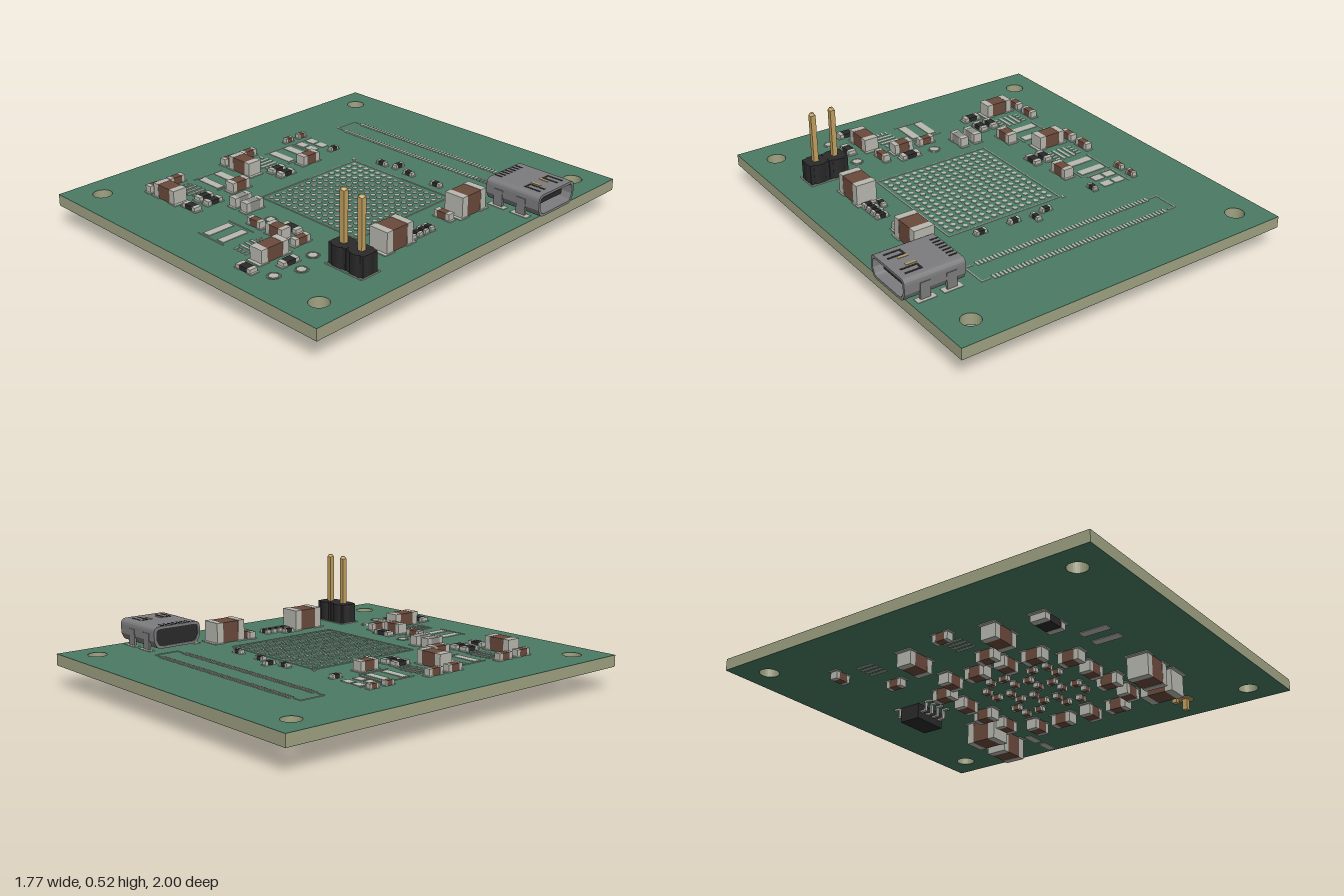
import * as THREE from 'three';
import { mergeGeometries } from 'three/addons/utils/BufferGeometryUtils.js';

const TOP = 0.167, BOTTOM = 0.11;
const mat = (color) => new THREE.MeshStandardMaterial({ color });
const M = {
  mask: mat(0x4a7a64), core: mat(0xa0a282), silver: mat(0xb8b8b0), brown: mat(0x6b4a3c),
  black: mat(0x2a2a2a), grey: mat(0x8e8e8a), gold: mat(0xc2a060), shell: mat(0x7c7c7e),
};

export function createModel() {
  const model = new THREE.Group();
  const buckets = new Map();

  // Gathers geometry by part name and material; merged at the end
  const add = (name, material, geo) => {
    const key = name + '|' + material;
    if (!buckets.has(key)) buckets.set(key, []);
    buckets.get(key).push(geo.index ? geo.toNonIndexed() : geo);
  };
  const box = (name, material, x, y, z, w, h, d) =>
    add(name, material, new THREE.BoxGeometry(w, h, d).translate(x, y, z));
  const face = (side) => (side > 0 ? TOP : BOTTOM);
  // Flat copper pad or printed line
  const pad = (name, x, z, w, d, side = 1) =>
    box(name, 'silver', x, face(side) + side * 0.001, z, w, 0.004, d);
  // Dot (r0 = 0) or ring on the top face
  const dot = (name, x, z, r, segments = 12) =>
    add(name, 'silver', new THREE.CylinderGeometry(r, r, 0.004, segments).translate(x, TOP + 0.001, z));

  // Two-terminal chip: body, metal end caps and solder pads; axis 'x' or 'z'
  const chip = (name, material, x, z, len, wid, h, axis, side = 1) => {
    const y = face(side) + side * h / 2, cap = len * 0.22;
    const put = (m, off, l, w, hh, yy) => (axis === 'x'
      ? box(name, m, x + off, yy, z, l, hh, w) : box(name, m, x, yy, z + off, w, hh, l));
    put(material, 0, len * 0.8, wid * 0.97, h * 0.97, y);
    for (const s of [-1, 1]) {
      put('silver', s * (len - cap) / 2, cap, wid, h, y);
      put('silver', s * len * 0.42, len * 0.36, wid * 1.12, 0.005, face(side) + side * 0.002);
    }
  };

  // Board: core with a solder mask on both faces and four mounting holes
  const outline = new THREE.Shape([[-0.89, -1], [0.86, -1], [0.86, 1], [-0.89, 1]].map((p) => new THREE.Vector2(...p)));
  for (const [x, z] of [[-0.75, -0.86], [0.72, -0.86], [-0.75, 0.85], [0.72, 0.85]])
    outline.holes.push(new THREE.Path().absarc(x, -z, 0.046, 0, Math.PI * 2, true));
  const slab = (y, h) => new THREE.ExtrudeGeometry(outline, { depth: h, bevelEnabled: false, curveSegments: 16 })
    .rotateX(-Math.PI / 2).translate(0, y, 0);
  add('boardCore', 'core', slab(BOTTOM + 0.002, TOP - BOTTOM - 0.004));
  add('solderMaskTop', 'mask', slab(TOP - 0.002, 0.002));
  add('solderMaskBottom', 'mask', slab(BOTTOM, 0.002));

  // Rectangular printed outline
  const frame = (name, x0, x1, z0, z1, t = 0.005) => {
    for (const z of [z0, z1]) pad(name, (x0 + x1) / 2, z, x1 - x0, t);
    for (const x of [x0, x1]) pad(name, x, (z0 + z1) / 2, t, z1 - z0);
  };

  // Fine-pitch connector footprint
  for (let i = 0; i < 50; i++)
    for (const z of [-0.66, -0.533]) pad('connectorPads', -0.497 + i * 0.0196, z, 0.01, 0.03);
  for (const [x, s] of [[-0.563, 1], [0.527, -1]]) {
    pad('connectorOutline', x, -0.597, 0.005, 0.13);
    for (const z of [-0.66, -0.533]) pad('connectorOutline', x + s * 0.022, z, 0.045, 0.005);
  }

  // Ball grid footprint
  for (let i = 0; i < 15; i++)
    for (let j = 0; j < 15; j++) dot('ballGridPads', -0.152 + i * 0.0397, -0.24 + j * 0.0397, 0.0125, 8);
  frame('ballGridOutline', -0.187, 0.437, -0.275, 0.347);
  dot('ballGridOutline', -0.2, -0.285, 0.012, 3);

  // Oscillator footprint
  for (const x of [-0.521, -0.452])
    for (const z of [-0.302, -0.233]) pad('oscillatorPads', x, z, 0.055, 0.042);
  pad('oscillatorOutline', -0.563, -0.27, 0.005, 0.13);
  pad('oscillatorOutline', -0.487, -0.2, 0.15, 0.005);

  // Two identical regulator blocks: inductor pads, regulator pads and passives
  for (const z of [0, 0.46]) {
    for (const dz of [-0.15, -0.052]) pad('inductorPads', -0.48, z + dz, 0.143, 0.042);
    for (const x of [-0.566, -0.394]) pad('inductorOutline', x, z - 0.1, 0.005, 0.17);
    for (const x of [-0.51, -0.48, -0.45]) pad('regulatorPads', x, z + 0.066, 0.013, 0.1);
    for (const x of [-0.543, -0.417])
      for (let i = 0; i < 4; i++) pad('regulatorPads', x, z + 0.03 + i * 0.024, 0.026, 0.01);
    chip('capacitorTop', 'brown', -0.34, z - 0.1, 0.105, 0.055, 0.05, 'z');
    chip('capacitorTop', 'brown', -0.48, z + 0.196, 0.15, 0.075, 0.07, 'x');
    for (const x of [-0.368, -0.304]) chip('resistorTop', 'black', x, z + 0.085, 0.085, 0.04, 0.022, 'z');
    for (const dz of [0.065, 0.187]) chip('capacitorTop', 'brown', -0.607, z + dz, 0.085, 0.036, 0.036, 'z');
  }

  // Lower regulator: inductor pads and regulator pads
  for (const x of [-0.066, 0.03]) pad('inductorPads', x, 0.71, 0.042, 0.143);
  for (const z of [0.62, 0.795]) pad('inductorOutline', -0.018, z, 0.17, 0.005);
  for (let i = 0; i < 3; i++) pad('regulatorPads', 0.166, 0.68 + i * 0.03, 0.1, 0.013);
  for (const z of [0.645, 0.775])
    for (let i = 0; i < 4; i++) pad('regulatorPads', 0.13 + i * 0.024, z, 0.01, 0.026);

  // Test points: dot with a ring
  for (const [x, z] of [[0.024, 0.48], [0.41, 0.587], [0.47, 0.71], [0.43, 0.83]]) {
    dot('testPoint', x, z, 0.022, 16);
    add('testPoint', 'silver', new THREE.TorusGeometry(0.03, 0.0025, 4, 20).rotateX(Math.PI / 2).translate(x, TOP, z));
  }

  // Remaining top-side chips: x, z, length, width, height, axis
  for (const c of [
    [0.58, -0.217, 0.165, 0.105, 0.105, 'z'], [0.58, 0.28, 0.165, 0.105, 0.105, 'z'],
    [0.564, -0.088, 0.09, 0.036, 0.036, 'x'], [0.288, 0.725, 0.155, 0.075, 0.068, 'z'],
    [0.166, 0.563, 0.105, 0.055, 0.053, 'x'], [0.024, 0.566, 0.085, 0.036, 0.036, 'x'],
    [0.288, 0.545, 0.09, 0.036, 0.036, 'z'], [-0.607, -0.302, 0.05, 0.026, 0.025, 'z'],
    [-0.607, -0.212, 0.05, 0.026, 0.025, 'z'],
  ]) chip('capacitorTop', 'brown', ...c);
  for (const c of [
    [0.166, 0.483, 0.1, 0.042, 0.022, 'x'], [0.39, 0.71, 0.09, 0.04, 0.022, 'z'],
    [0.31, 0.873, 0.09, 0.042, 0.022, 'x'], [-0.322, 0.656, 0.09, 0.04, 0.022, 'x'],
    [-0.365, -0.302, 0.052, 0.026, 0.02, 'z'], [-0.055, -0.339, 0.056, 0.026, 0.02, 'x'],
    [0.024, -0.37, 0.056, 0.026, 0.02, 'z'], [0.125, -0.339, 0.056, 0.026, 0.02, 'x'],
    [0.306, -0.333, 0.056, 0.026, 0.02, 'x'], [0.532, 0.148, 0.056, 0.026, 0.02, 'z'],
    ...[0.048, 0.087, 0.127, 0.168].map((z) => [0.59, z, 0.056, 0.026, 0.02, 'x']),
  ]) chip('resistorTop', 'black', ...c);
  for (const x of [-0.198, -0.119]) chip('ferriteBead', 'grey', x, 0.465, 0.1, 0.045, 0.05, 'z');

  // Two-pin header
  for (const x of [0.555, 0.658]) {
    const hex = new THREE.CylinderGeometry(0.07, 0.07, 0.1, 8).rotateY(Math.PI / 8).scale(0.8, 1, 0.8);
    add('headerBody', 'black', hex.translate(x, TOP + 0.05, 0.545));
    box('headerBody', 'black', x, TOP + 0.05, 0.545, 0.1, 0.1, 0.085);
    box('headerPin', 'gold', x, 0.28, 0.545, 0.025, 0.455, 0.025);
    add('headerPin', 'gold', new THREE.CylinderGeometry(0.009, 0.0177, 0.013, 4).rotateY(Math.PI / 4).translate(x, 0.5135, 0.545));
    add('headerPad', 'gold', new THREE.CylinderGeometry(0.038, 0.038, 0.004, 16).translate(x, BOTTOM - 0.001, 0.545));
  }
  frame('headerOutline', 0.5, 0.713, 0.488, 0.602);

  // Side port: a hollow shell opening at +x
  const hull = (S, w, y0, y1, c) => {
    const s = new S();
    s.moveTo(-w + c * 1.6, y0);
    s.lineTo(w - c * 1.6, y0);
    s.quadraticCurveTo(w - c * 0.6, y0, w - c * 0.4, y0 + c * 0.6);
    s.lineTo(w, y0 + c * 1.4);
    s.lineTo(w, y1 - c);
    s.quadraticCurveTo(w, y1, w - c, y1);
    s.lineTo(-w + c, y1);
    s.quadraticCurveTo(-w, y1, -w, y1 - c);
    s.lineTo(-w, y0 + c * 1.4);
    s.lineTo(-w + c * 0.4, y0 + c * 0.6);
    s.quadraticCurveTo(-w + c * 0.6, y0, -w + c * 1.6, y0);
    return s;
  };
  const along = (shape, x, depth) => new THREE.ExtrudeGeometry(shape, { depth, bevelEnabled: false, curveSegments: 4 })
    .rotateY(Math.PI / 2).translate(x, 0, -0.495);
  const shell = hull(THREE.Shape, 0.132, 0.178, 0.287, 0.027);
  shell.holes.push(hull(THREE.Path, 0.12, 0.19, 0.275, 0.024));
  add('portShell', 'shell', along(shell, 0.585, 0.3));
  add('portInsulator', 'black', along(hull(THREE.Shape, 0.12, 0.19, 0.275, 0.024), 0.59, 0.11));
  box('portTongue', 'black', 0.77, 0.238, -0.495, 0.17, 0.024, 0.16);
  for (let i = 0; i < 5; i++) box('portContact', 'gold', 0.77, 0.224, -0.555 + i * 0.03, 0.15, 0.005, 0.012);
  for (const s of [-1, 1]) {
    // Spring windows on top, mounting legs and their pads
    for (const dz of [0.05, 0.085]) box('portWindow', 'black', 0.81, 0.287, -0.495 + s * dz, 0.085, 0.003, 0.01);
    box('portWindow', 'black', 0.772, 0.287, -0.495 + s * 0.0675, 0.01, 0.003, 0.045);
    box('portSpring', 'gold', 0.79, 0.288, -0.495 + s * 0.03, 0.05, 0.003, 0.011);
    for (const x of [0.655, 0.785]) {
      box('portLeg', 'shell', x, 0.18, -0.495 + s * 0.129, 0.05, 0.14, 0.012);
      for (const side of [1, -1]) pad('portLegPad', x, -0.495 + s * 0.132, 0.095, 0.035, side);
    }
  }
  for (let i = 0; i < 7; i++) box('portLead', 'black', 0.61, 0.287, -0.57 + i * 0.025, 0.04, 0.003, 0.009);

  // Underside: eight-lead package
  box('leadedChip', 'black', 0, 0.06, -0.57, 0.18, 0.075, 0.11);
  for (const s of [-1, 1])
    for (let i = 0; i < 4; i++) {
      const x = -0.066 + i * 0.044, z = -0.57 + s * 0.055;
      box('chipLead', 'silver', x, 0.06, z + s * 0.012, 0.016, 0.008, 0.026);
      box('chipLead', 'silver', x, 0.083, z + s * 0.028, 0.016, 0.05, 0.008);
      box('chipLead', 'silver', x, 0.105, z + s * 0.043, 0.016, 0.008, 0.034);
    }

  // Underside: large and medium capacitors
  for (const c of [
    [0.55, -0.46, 0.165, 0.105, 0.11, 'x'], [0.345, -0.425, 0.165, 0.11, 0.11, 'z'],
    [0.345, 0.59, 0.165, 0.11, 0.11, 'z'], [0.16, 0.62, 0.165, 0.11, 0.11, 'x'],
    [-0.49, 0.27, 0.15, 0.08, 0.07, 'x'], [-0.49, -0.2, 0.15, 0.08, 0.07, 'x'],
    [-0.34, -0.44, 0.085, 0.04, 0.04, 'z'], [-0.55, -0.6, 0.085, 0.04, 0.04, 'x'],
    [-0.6, 0.05, 0.085, 0.04, 0.04, 'z'], [-0.34, 0.1, 0.1, 0.055, 0.05, 'z'],
  ]) chip('capacitorBottom', 'brown', ...c, -1);
  chip('currentSense', 'black', -0.45, 0.5, 0.15, 0.08, 0.035, 'x', -1);

  // Underside: ring of capacitors around the ball grid, small ones within
  for (let i = 0; i < 4; i++) {
    const t = -0.24 + i * 0.16;
    for (const s of [-1, 1]) {
      chip('decouplingRing', 'brown', 0.125 + t, 0.035 + s * 0.36, 0.11, 0.06, 0.055, i % 2 ? 'x' : 'z', -1);
      chip('decouplingRing', 'brown', 0.125 + s * 0.35, 0.035 + t, 0.11, 0.06, 0.055, i % 2 ? 'z' : 'x', -1);
    }
  }
  for (let i = 0; i < 6; i++)
    for (let j = 0; j < 6; j++)
      if ((i + 2 * j) % 3) chip('decouplingGrid', 'brown', -0.075 + i * 0.08, -0.165 + j * 0.08, 0.05, 0.026, 0.025, (i + j) % 2 ? 'x' : 'z', -1);

  // Underside: bare regulator and inductor pads
  for (const [x, z] of [[-0.5, -0.45], [-0.47, 0.04]])
    for (let i = 0; i < 4; i++) pad('undersidePads', x - 0.045 + i * 0.03, z, 0.013, 0.1, -1);
  for (const dx of [-0.05, 0.05]) pad('undersidePads', -0.19 + dx, 0.6, 0.045, 0.14, -1);

  for (const [key, geos] of buckets) {
    const [name, material] = key.split('|');
    const mesh = new THREE.Mesh(mergeGeometries(geos), M[material]);
    mesh.name = name;
    model.add(mesh);
  }
  return model;
}
